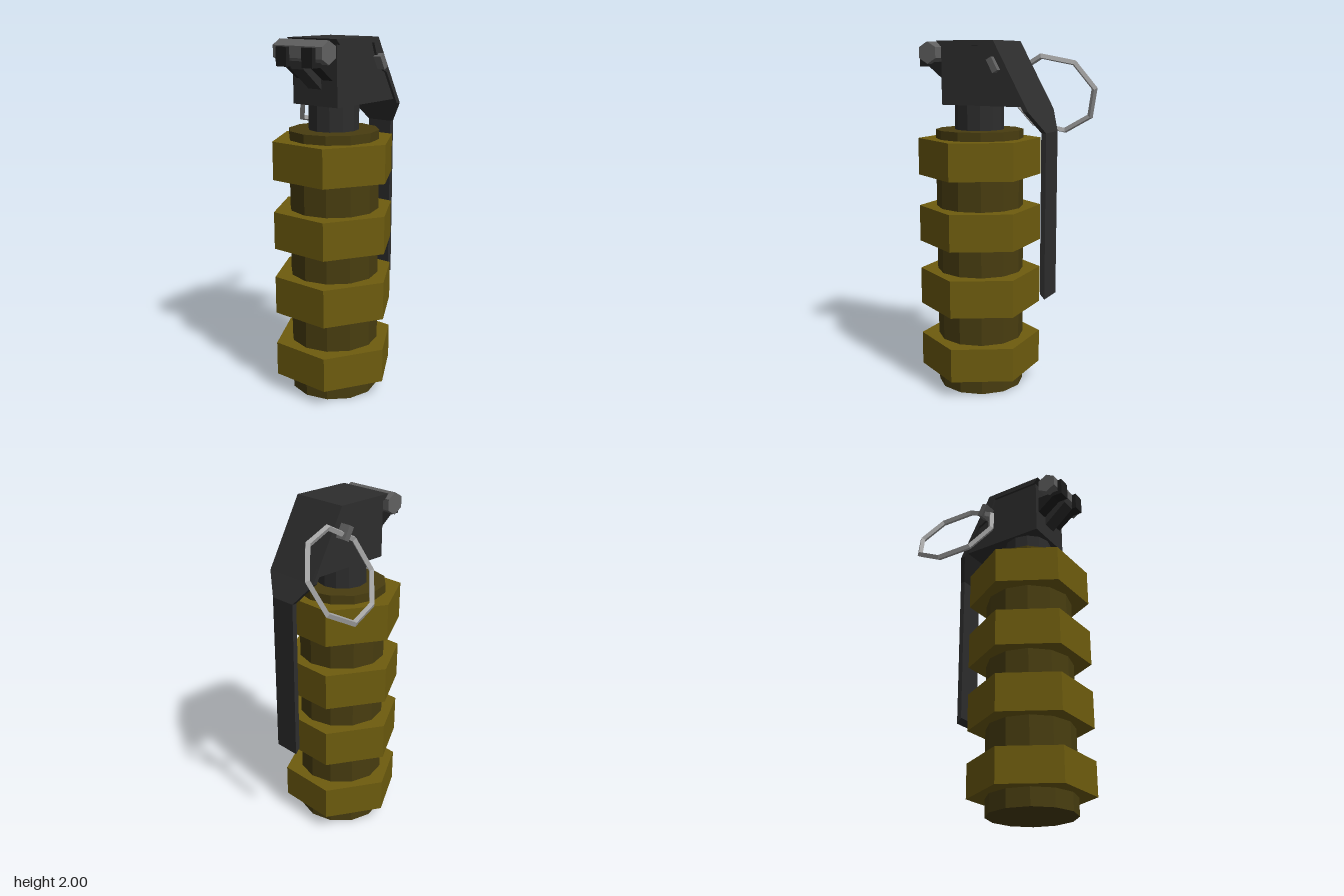
import * as THREE from 'three';

const CX = 0.045, CZ = 0.135; // axis of the body

function mat(name, color) {
  const m = new THREE.MeshStandardMaterial({ color, flatShading: true });
  m.name = name;
  return m;
}

export function createModel() {
  const root = new THREE.Group();
  root.name = 'canister';
  const olive = mat('olive', 0x6e5c0e);
  const darkOlive = mat('dark olive', 0x483d10);
  const black = mat('black', 0x1e1e1e);
  const charcoal = mat('charcoal', 0x2d2d2d);
  const steel = mat('steel', 0x606060);
  const silver = mat('silver', 0xa4a4a4);

  const add = (name, geo, material, x = 0, y = 0, z = 0) => {
    const m = new THREE.Mesh(geo, material);
    m.name = name;
    m.position.set(x, y, z);
    root.add(m);
    return m;
  };
  // upright prism with a corner on the x axis
  const prism = (name, r, sides, y0, y1, material) => {
    const g = new THREE.CylinderGeometry(r, r, y1 - y0, sides);
    g.rotateY(Math.PI / 2);
    return add(name, g, material, CX, (y0 + y1) / 2, CZ);
  };
  // side profile of (z, y) points, extruded across x
  const slab = (name, pts, width, material, x = CX) => {
    const shape = new THREE.Shape(pts.map(([z, y]) => new THREE.Vector2(z, y)));
    const g = new THREE.ExtrudeGeometry(shape, { depth: width, bevelEnabled: false });
    g.translate(0, 0, -width / 2);
    g.rotateY(-Math.PI / 2);
    return add(name, g, material, x);
  };

  // body with four hexagonal collars
  prism('body', 0.25, 12, 0, 1.51, darkOlive);
  for (const [y0, y1] of [[0.1, 0.295], [0.48, 0.695], [0.86, 1.07], [1.25, 1.46]])
    prism('hexCollar', 0.35, 6, y0, y1, olive);
  prism('neck', 0.14, 12, 1.5, 1.66, charcoal);

  // fuze head
  slab('head', [[0.29, 1.65], [0.29, 1.972], [-0.035, 1.972], [-0.21, 1.65]], 0.305, charcoal);
  slab('nose', [[0.28, 1.73], [0.425, 1.85], [0.425, 1.89], [0.28, 1.95]], 0.09, charcoal);

  // hinge bar and the two hooks around it
  const bar = new THREE.CylinderGeometry(0.061, 0.061, 0.335, 6);
  bar.rotateY(Math.PI / 2);
  bar.rotateZ(Math.PI / 2);
  bar.computeBoundingBox();
  if (bar.boundingBox.max.y < 0.06) bar.rotateX(Math.PI / 6); // corner upward
  add('hingeBar', bar, steel, CX, 1.935, 0.372);
  for (const s of [-1, 1])
    slab('hook', [[0.28, 1.78], [0.39, 1.86], [0.45, 1.86], [0.45, 1.96],
      [0.425, 1.96], [0.425, 1.885], [0.28, 1.885]], 0.072, black, CX + s * 0.088);

  // safety lever: bent cover, tapered shoulder, long strip
  slab('leverCover', [[0.315, 2], [0.285, 1.97], [-0.025, 1.97], [-0.222, 1.625],
    [-0.25, 1.625], [-0.04, 2]], 0.335, charcoal);
  const shoulder = new THREE.BoxGeometry(1, 1, 1);
  const p = shoulder.attributes.position;
  for (let i = 0; i < p.count; i++) {
    const top = p.getY(i) > 0, front = p.getZ(i) > 0;
    p.setXYZ(i, CX + p.getX(i) * (top ? 0.335 : 0.155), top ? 1.625 : 1.51,
      (top ? -0.25 : -0.315) + (front ? 0.028 : 0));
  }
  shoulder.computeVertexNormals();
  add('leverShoulder', shoulder, charcoal);
  slab('leverStrip', [[-0.287, 1.53], [-0.315, 1.51], [-0.315, 0.58], [-0.287, 0.61]], 0.155, charcoal);
  // folded cheeks of the lever
  for (const s of [-1, 1])
    slab('leverCheek', [[0, 1.975], [-0.05, 1.84], [-0.13, 1.8], [-0.224, 1.63],
      [-0.245, 1.635], [-0.043, 1.99]], 0.015, charcoal, CX + s * 0.16);

  // safety pin through the head
  const pin = add('safetyPin', new THREE.BoxGeometry(0.43, 0.08, 0.035), steel, 0.03, 1.87, -0.05);
  pin.rotation.x = 0.51;

  // octagonal pull ring, hanging at a slant
  const e1 = new THREE.Vector3(-0.018, 0.04, -0.258).normalize();
  const e3 = e1.clone().cross(new THREE.Vector3(-0.132, -0.235, -0.035)).normalize();
  const e2 = e3.clone().cross(e1);
  const ring = new THREE.TorusGeometry(0.25, 0.018, 4, 8);
  ring.applyMatrix4(new THREE.Matrix4().makeBasis(e1, e2, e3));
  add('pullRing', ring, silver, -0.262, 1.699, -0.187);

  return root;
}
